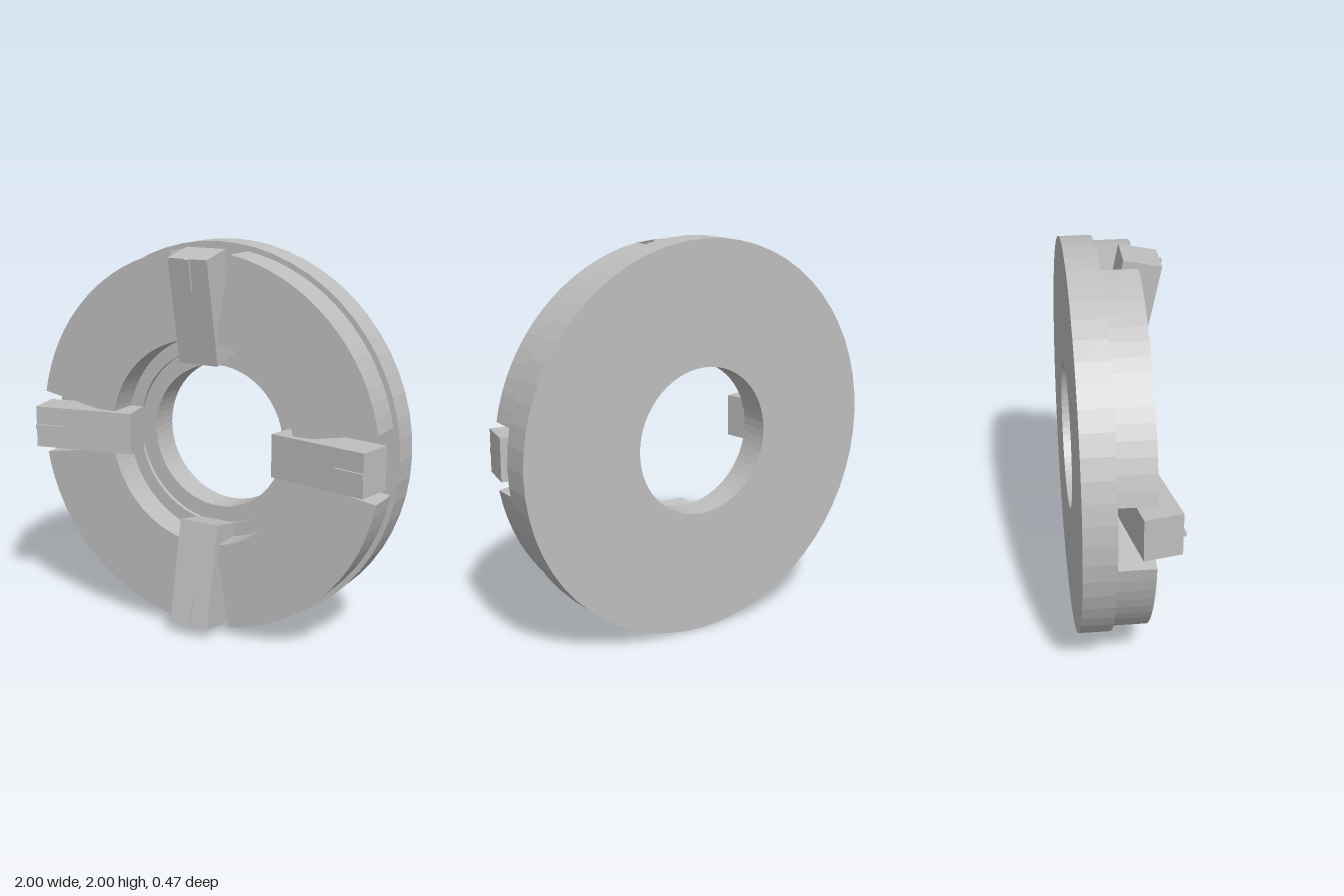
import * as THREE from 'three';

const metal = new THREE.MeshStandardMaterial({ color: 0xbebebe });
metal.name = 'grey metal';

// Annulus, or a sector of one, extruded along z from z0 to z1
function ringPart(name, inner, outer, z0, z1, start = 0, end = Math.PI * 2, segments = 30) {
  const shape = new THREE.Shape();
  shape.absarc(0, 0, outer, start, end, false);
  if (end - start > 6) {
    const hole = new THREE.Path();
    hole.absarc(0, 0, inner, start, end, true);
    shape.holes.push(hole);
  } else {
    shape.absarc(0, 0, inner, end, start, true);
    shape.closePath();
  }
  const geo = new THREE.ExtrudeGeometry(shape, { depth: z1 - z0, bevelEnabled: false, curveSegments: segments });
  geo.translate(0, 0, z0);
  const mesh = new THREE.Mesh(geo, metal);
  mesh.name = name;
  return mesh;
}

function box(name, w, h, d, x, y, z) {
  const mesh = new THREE.Mesh(new THREE.BoxGeometry(w, h, d), metal);
  mesh.name = name;
  mesh.position.set(x, y, z);
  return mesh;
}

// Tilted jaw pointing along +x, with its inner front edge at the tilt pivot
function makeJaw() {
  const length = 0.54, thick = 0.187, width = 0.218;
  const tilt = new THREE.Group();
  tilt.position.set(0.41, 0, 0.115);
  tilt.rotation.y = -THREE.MathUtils.degToRad(11.5);
  tilt.add(box('jawBlock', length, width, thick, length / 2, 0, -thick / 2));
  tilt.add(box('jawRib', 0.16, 0.026, 0.024, 0.46, 0, 0));
  const jaw = new THREE.Group();
  jaw.name = 'jaw';
  jaw.add(tilt);
  return jaw;
}

export function createModel() {
  const model = new THREE.Group();
  model.name = 'chuckRing';
  const body = new THREE.Group();
  body.name = 'body';
  body.position.y = 1;
  model.add(body);

  // Back disc and the low lip around the bore
  body.add(ringPart('backPlate', 0.375, 1, -0.235, -0.077));
  body.add(ringPart('innerLip', 0.46, 0.53, -0.078, -0.055));

  // Four raised sectors with a jaw in each slot between them
  const slot = THREE.MathUtils.degToRad(10);
  for (let i = 0; i < 4; i++) {
    const a = i * Math.PI / 2;
    body.add(ringPart('frontSector', 0.53, 0.973, -0.078, 0.105, a + slot, a + Math.PI / 2 - slot, 8));
    const jaw = makeJaw();
    jaw.rotation.z = a;
    body.add(jaw);
  }
  return model;
}
